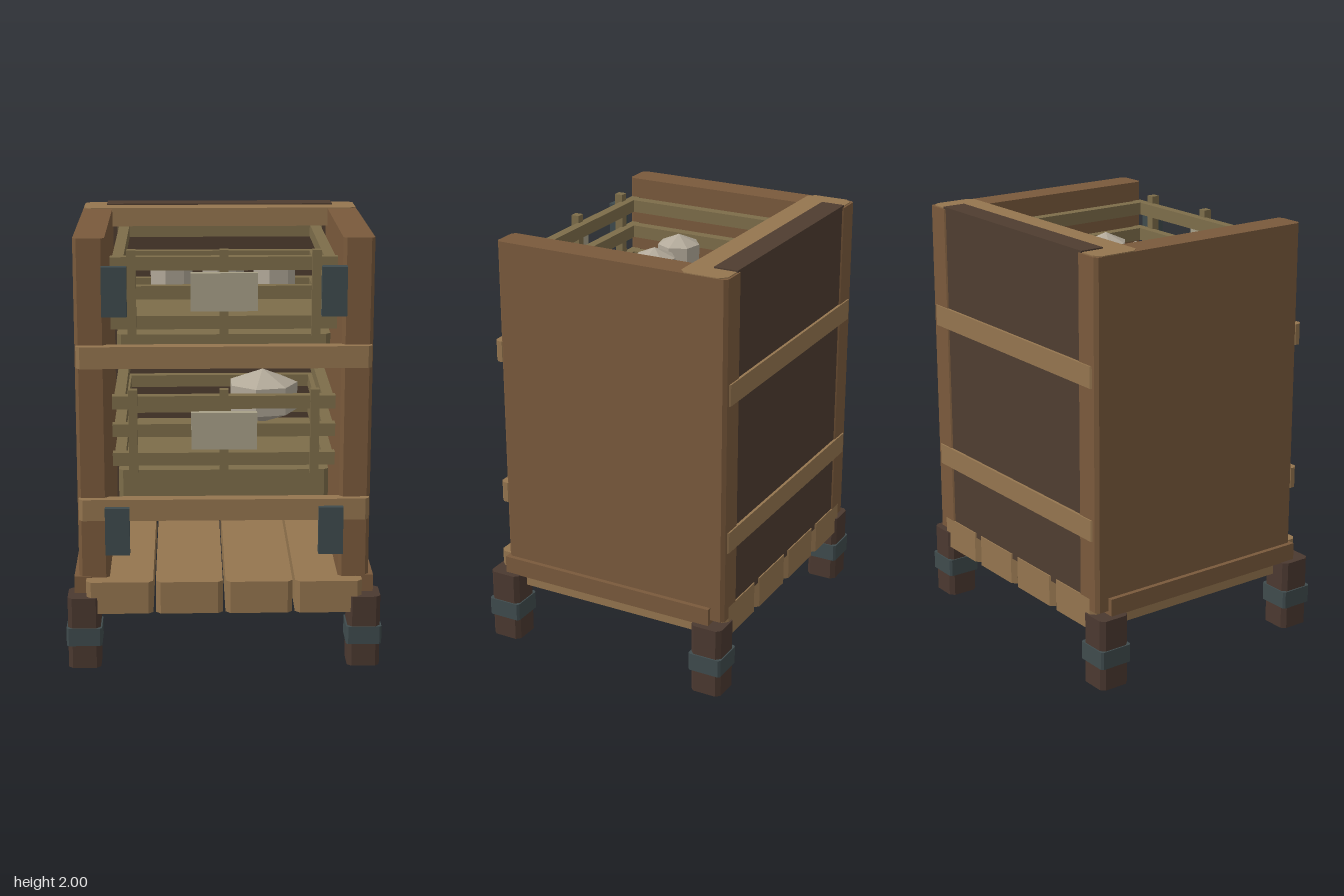
import * as THREE from 'three';

const mat = (color) => new THREE.MeshStandardMaterial({ color, flatShading: true, roughness: 0.9 });
const M = {
  side: mat(0x7a5a3c), beam: mat(0x94754f), dark: mat(0x4f3d30), leg: mat(0x4b3930),
  metal: mat(0x3f4b4d), crate: mat(0x7d6d4a), label: mat(0xa8a088), goods: mat(0xb3aa9a),
};

// Box between two corners; c cuts its four upright edges
function block(parent, name, material, [x0, x1], [y0, y1], [z0, z1], c = 0) {
  const w = (x1 - x0) / 2, h = y1 - y0, d = (z1 - z0) / 2;
  let geo;
  if (c > 0) {
    const pts = [[w - c, -d], [w, c - d], [w, d - c], [w - c, d], [c - w, d], [-w, d - c], [-w, c - d], [c - w, -d]];
    geo = new THREE.ExtrudeGeometry(new THREE.Shape(pts.map(([x, y]) => new THREE.Vector2(x, y))),
      { depth: h, bevelEnabled: false });
    geo.rotateX(-Math.PI / 2).translate(0, -h / 2, 0);
  } else {
    geo = new THREE.BoxGeometry(w * 2, h, d * 2);
  }
  const mesh = new THREE.Mesh(geo, material);
  mesh.name = name;
  mesh.position.set((x0 + x1) / 2, (y0 + y1) / 2, (z0 + z1) / 2);
  parent.add(mesh);
  return mesh;
}

// Faceted lump of produce
function lump(parent, name, x, y, z, r, ry) {
  const mesh = new THREE.Mesh(new THREE.SphereGeometry(1, 7, 3), M.goods);
  mesh.name = name;
  mesh.scale.set(r, ry, r);
  mesh.rotation.y = Math.PI;
  mesh.position.set(x, y, z);
  parent.add(mesh);
}

// Slatted crate; its floor top lies at y = 0
function crate(name, y) {
  const g = new THREE.Group();
  g.name = name;
  g.position.y = y;
  block(g, 'crateFloor', M.crate, [-0.48, 0.48], [-0.13, 0], [-0.44, 0.49], 0.02);
  for (const s of [0.03, 0.165, 0.295]) {
    const span = [s, s + 0.06];
    block(g, 'frontSlat', M.crate, [-0.505, 0.505], span, [0.475, 0.52]);
    block(g, 'backSlat', M.crate, [-0.505, 0.505], span, [-0.48, -0.435]);
    block(g, 'leftSlat', M.crate, [0.445, 0.495], span, [-0.435, 0.475]);
    block(g, 'rightSlat', M.crate, [-0.495, -0.445], span, [-0.435, 0.475]);
  }
  for (const x of [-0.41, 0, 0.41])
    block(g, 'crateUpright', M.crate, [x - 0.02, x + 0.02], [0, 0.39], [0.51, 0.55]);
  block(g, 'blankPlate', M.label, [-0.148, 0.148], [0.125, 0.295], [0.56, 0.593]);
  return g;
}

export function createModel() {
  const root = new THREE.Group();
  root.name = 'crateCabinet';

  // Legs with metal bands
  for (const sx of [-1, 1]) for (const sz of [-1, 1]) {
    const x = sx * 0.645, z = sz * 0.543;
    block(root, 'leg', M.leg, [x - 0.075, x + 0.075], [0, 0.34], [z - 0.076, z + 0.076], 0.02);
    block(root, 'legBand', M.metal, [x - 0.082, x + 0.082], [0.11, 0.195], [z - 0.082, z + 0.082], 0.01);
  }

  // Floor planks
  for (let i = 0; i < 4; i++) {
    const x = (i - 1.5) * 0.32;
    block(root, 'floorPlank', M.beam, [x - 0.154, x + 0.154], [0.263, 0.415], [-0.61, 0.612], 0.022);
  }

  // Side walls, base rails and corner plates
  for (const s of [-1, 1]) {
    const span = (a, b) => (s > 0 ? [a, b] : [-b, -a]);
    block(root, 'sideWall', M.side, span(0.527, 0.668), [0.36, 1.99], [-0.61, 0.542], 0.016);
    block(root, 'sideBaseRail', M.side, span(0.61, 0.69), [0.338, 0.422], [-0.545, 0.545]);
    for (const y of [0.545, 1.65])
      block(root, 'cornerPlate', M.metal, span(0.43, 0.542), [y, y + 0.222], [0.565, 0.607]);
  }

  // Back wall and top beam
  block(root, 'backWall', M.dark, [-0.557, 0.557], [0.39, 2.0], [-0.604, -0.49]);
  block(root, 'topBeam', M.beam, [-0.667, 0.667], [1.905, 1.994], [-0.6, -0.377], 0.03);

  // Cross rails on front and back
  for (const y of [0.7, 1.41]) {
    block(root, 'frontRail', M.beam, [-0.662, 0.662], [y, y + 0.1], [0.52, 0.578], 0.018);
    block(root, 'backRail', M.beam, [-0.64, 0.64], [y, y + 0.1], [-0.617, -0.58], 0.01);
  }

  // Crates and contents
  const lower = crate('lowerCrate', 0.915);
  lump(lower, 'largeProduce', 0.19, 0.265, 0.15, 0.19, 0.13);
  const upper = crate('upperCrate', 1.548);
  for (const x of [-0.24, 0, 0.24]) lump(upper, 'smallProduce', x, 0.2, 0.11, 0.117, 0.092);
  root.add(lower, upper);

  return root;
}
